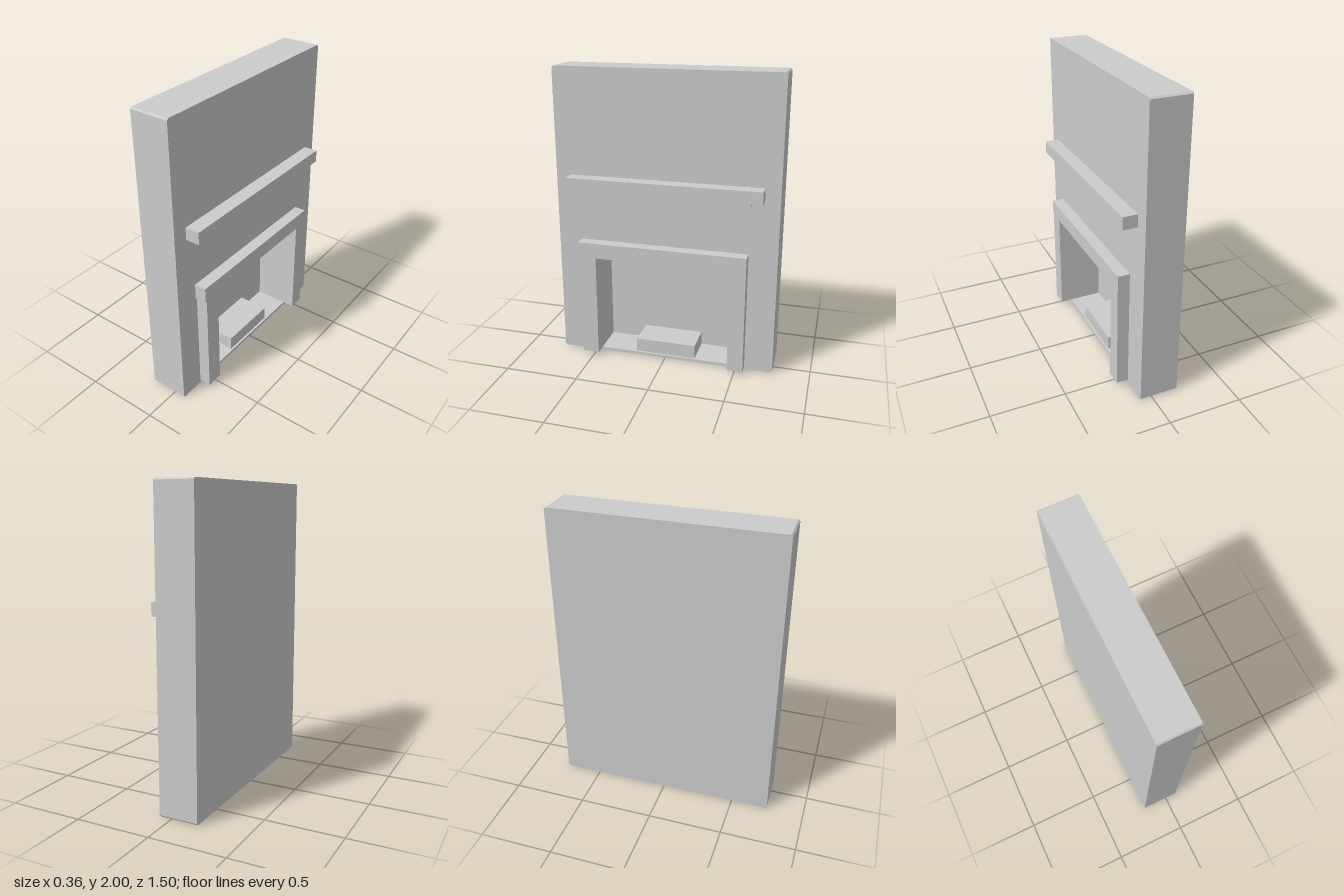
import * as THREE from 'three';

const BACK = -0.18, FACE = 0.08; // the wall's rear and fireplace-side planes

export function createModel() {
  const group = new THREE.Group();
  group.name = 'fireplace';
  const material = new THREE.MeshStandardMaterial({ color: 0xcccccc, flatShading: true });

  const add = (name, geometry) => {
    const mesh = new THREE.Mesh(geometry, material);
    mesh.name = name;
    group.add(mesh);
    return mesh;
  };
  // box given by its limits along each axis
  const box = (name, [x0, x1], [y0, y1], [z0, z1]) => {
    const mesh = add(name, new THREE.BoxGeometry(x1 - x0, y1 - y0, z1 - z0));
    mesh.position.set((x0 + x1) / 2, (y0 + y1) / 2, (z0 + z1) / 2);
  };
  const points = (list) => list.map(([z, y]) => new THREE.Vector2(z, y));

  // chimney wall with clipped corners and a hearth opening
  const w = 0.75, h = 2, c = 0.01;
  const outline = new THREE.Shape(points([
    [-w + c, 0], [w - c, 0], [w, c], [w, h - c],
    [w - c, h], [-w + c, h], [-w, h - c], [-w, c],
  ]));
  outline.holes.push(new THREE.Path(points([
    [-0.455, 0.02], [-0.455, 0.735], [0.465, 0.735], [0.465, 0.02],
  ])));
  const wall = new THREE.ExtrudeGeometry(outline, { depth: FACE - BACK, bevelEnabled: false });
  wall.rotateY(-Math.PI / 2).translate(FACE, 0, 0);
  add('chimneyWall', wall);

  // firebox
  box('fireboxBack', [BACK, -0.15], [0.02, 0.735], [-0.455, 0.465]);
  box('hearthBlock', [-0.15, 0.065], [0.02, 0.115], [-0.21, 0.21]);

  // surround
  box('surroundLintel', [FACE, 0.16], [0.735, 0.84], [-0.56, 0.59]);
  box('surroundLeg', [FACE, 0.16], [0.02, 0.735], [0.465, 0.578]);
  box('surroundLeg', [FACE, 0.16], [0.02, 0.735], [-0.56, -0.453]);

  // mantel shelf and the strip carrying it
  box('mantelShelf', [FACE, 0.176], [1.205, 1.29], [-0.65, 0.65]);
  box('mantelSupport', [FACE, 0.128], [1.173, 1.205], [-0.57, 0.573]);

  return group;
}
